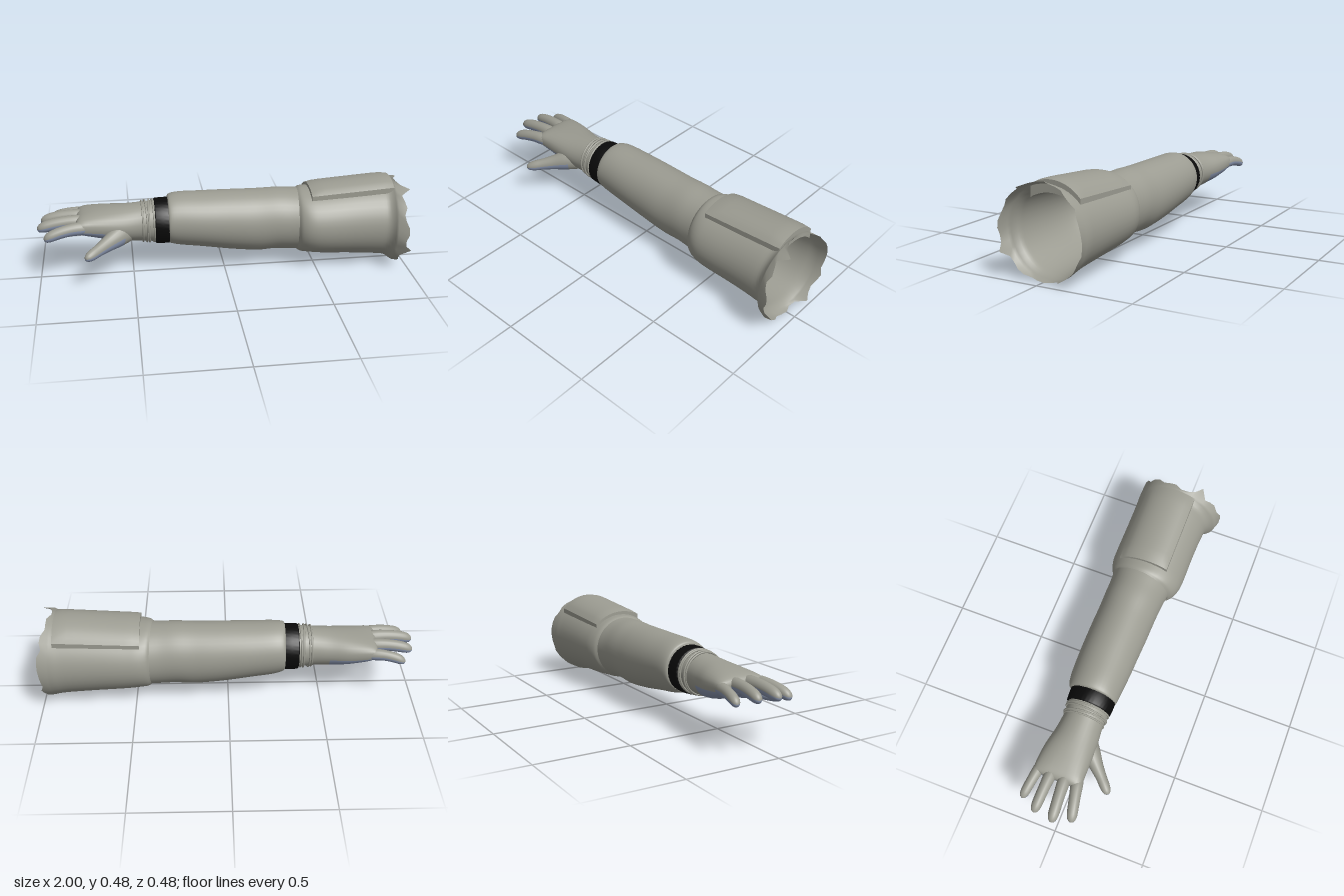
import * as THREE from 'three';

const mat = (name, color) => {
  const m = new THREE.MeshStandardMaterial({ color, side: THREE.DoubleSide });
  m.name = name;
  return m;
};

// Smooth tube through sections [x, y, z, halfWidth, halfHeight, squareness];
// below the angle limit, faces from x < paintX use the second material.
function loft(name, sections, mats, { sides = 32, steps = 4, paintX = -9, adjust } = {}) {
  const V = (a, b, c) => new THREE.Vector3(a, b, c);
  const centre = new THREE.CatmullRomCurve3(sections.map(s => V(s[0], s[1], s[2])), false, 'catmullrom');
  const size = new THREE.CatmullRomCurve3(sections.map(s => V(s[3], s[4], s[5] ?? 1)), false, 'catmullrom');
  const rings = (sections.length - 1) * steps;
  const dir = centre.getPoint(1).sub(centre.getPoint(0));
  const side = V(0, 1, 0).cross(dir).normalize();
  const pos = [], main = [], painted = [];
  const power = (v, p) => Math.sign(v) * Math.abs(v) ** p;
  for (let i = 0; i <= rings; i++) {
    const c = centre.getPoint(i / rings), s = size.getPoint(i / rings);
    for (let j = 0; j < sides; j++) {
      const a = (j / sides) * Math.PI * 2;
      const p = c.clone().addScaledVector(side, s.x * power(Math.cos(a), s.z));
      p.y += s.y * power(Math.sin(a), s.z);
      if (adjust) adjust(p, i / rings, j, a);
      pos.push(p.x, p.y, p.z);
      if (i === rings) continue;
      const k = (j + 1) % sides, n = i * sides;
      const low = Math.sin(((j + 0.5) / sides) * Math.PI * 2) < -0.15;
      (low && c.x < paintX ? painted : main).push(
        n + j, n + k, n + sides + k, n + j, n + sides + k, n + sides + j);
    }
  }
  const g = new THREE.BufferGeometry();
  g.setAttribute('position', new THREE.Float32BufferAttribute(pos, 3));
  g.setIndex([...main, ...painted]);
  g.addGroup(0, main.length, 0);
  if (painted.length) g.addGroup(main.length, painted.length, 1);
  g.computeVertexNormals();
  const mesh = new THREE.Mesh(g, mats);
  mesh.name = name;
  return mesh;
}

export function createModel() {
  const root = new THREE.Group();
  root.name = 'gloveAndSleeve';
  const fabric = mat('greyFabric', 0x9c9c92);
  const grip = mat('bluePalm', 0x8a96b0);
  const black = mat('blackBand', 0x0a0a0a);
  const glove = [fabric, grip];

  // Lower sleeve, gathered in at the wrist
  root.add(loft('lowerSleeve', [
    [-0.305, 0.292, -0.048, 0.118, 0.120],
    [-0.295, 0.298, -0.053, 0.134, 0.134],
    [-0.24, 0.295, -0.057, 0.143, 0.146],
    [-0.12, 0.286, -0.057, 0.150, 0.154],
    [0.0, 0.276, -0.056, 0.153, 0.164],
    [0.1, 0.269, -0.054, 0.155, 0.170],
    [0.19, 0.265, -0.052, 0.155, 0.174],
    [0.28, 0.269, -0.050, 0.157, 0.172],
    [0.36, 0.265, -0.047, 0.160, 0.172],
    [0.43, 0.263, -0.044, 0.168, 0.172],
  ], [fabric], { sides: 40 }));

  // Upper sleeve, flaring to a torn edge
  root.add(loft('upperSleeve', [
    [0.405, 0.263, -0.045, 0.166, 0.172],
    [0.425, 0.262, -0.042, 0.186, 0.181],
    [0.47, 0.261, -0.038, 0.202, 0.184],
    [0.54, 0.258, -0.036, 0.207, 0.189],
    [0.70, 0.257, -0.036, 0.206, 0.200],
    [0.84, 0.255, -0.034, 0.209, 0.210],
    [0.90, 0.252, -0.030, 0.216, 0.216],
    [0.94, 0.250, -0.005, 0.240, 0.236],
  ], [fabric], {
    sides: 40,
    adjust(p, t, j, a) {
      if (t < 0.999) return;
      const tear = [0, 0.012, -0.008, 0.006, 0.014, -0.004, 0.01][(j * 3) % 7];
      p.x += 0.035 * Math.cos(a) ** 2 + tear;
      if (j % 10 === 3) p.x = 0.995;
    },
  }));

  // Raised pocket flap following the curve of the sleeve top
  const flapGeo = new THREE.BoxGeometry(0.45, 0.07, 0.27, 12, 3, 14);
  const fp = flapGeo.attributes.position;
  for (let i = 0; i < fp.count; i++) {
    const x = fp.getX(i) + 0.69, z = fp.getZ(i) - 0.055;
    const u = (x - 0.465) / 0.45;
    const h = 0.185 + 0.033 * u;
    const top = 0.258 + h * Math.sqrt(1 - ((z + 0.03) / 0.215) ** 2);
    const edge = Math.max(Math.abs(fp.getX(i)) / 0.225, Math.abs(fp.getZ(i)) / 0.135);
    const round = fp.getY(i) > 0.03 ? 0.008 * edge ** 8 : 0;
    fp.setXYZ(i, x, top + fp.getY(i) - 0.008 - round, z);
  }
  flapGeo.computeVertexNormals();
  const flap = new THREE.Mesh(flapGeo, fabric);
  flap.name = 'pocketFlap';
  root.add(flap);

  // Black wrist band with a fine ribbed surface
  root.add(loft('wristBand', [
    [-0.298, 0.292, -0.048, 0.115, 0.116],
    [-0.302, 0.292, -0.048, 0.125, 0.125],
    [-0.370, 0.292, -0.048, 0.122, 0.123],
    [-0.374, 0.292, -0.048, 0.113, 0.114],
  ], [black], {
    sides: 72, steps: 2,
    adjust(p, t, j) {
      const s = j % 2 ? 1 : 0.985;
      p.y = 0.292 + (p.y - 0.292) * s;
      p.z = -0.048 + (p.z + 0.048) * s;
    },
  }));

  // Gathered rings of the cuff
  [[-0.385, 0.115, 0.03], [-0.405, 0.115, -0.04], [-0.425, 0.113, 0.07], [-0.443, 0.110, 0.02]]
    .forEach(([x, r, tilt]) => {
      const ring = new THREE.Mesh(new THREE.TorusGeometry(r, 0.005, 8, 40), fabric);
      ring.rotation.set(0, Math.PI / 2 + tilt, 0);
      ring.position.set(x, 0.294, -0.046);
      ring.name = 'cuffRing';
      root.add(ring);
    });

  // Palm and back of the hand
  root.add(loft('hand', [
    [-0.31, 0.292, -0.048, 0.112, 0.113],
    [-0.38, 0.293, -0.047, 0.112, 0.112],
    [-0.45, 0.294, -0.046, 0.109, 0.105],
    [-0.54, 0.294, -0.047, 0.118, 0.098],
    [-0.63, 0.300, -0.054, 0.128, 0.085, 0.9],
    [-0.71, 0.308, -0.057, 0.132, 0.068, 0.8],
    [-0.765, 0.313, -0.056, 0.132, 0.050, 0.7],
    [-0.79, 0.313, -0.055, 0.120, 0.030, 0.7],
    [-0.795, 0.313, -0.055, 0.001, 0.001],
  ], glove, { paintX: -0.53 }));

  // Fingers: [base y, base z, tip x, tip y, tip z, radius]
  const profile = [[0, 0.98], [0.2, 1.08], [0.42, 1.0], [0.65, 0.96], [0.84, 0.9], [0.94, 0.68], [0.985, 0.35], [1, 0.01]];
  [
    ['littleFinger', 0.308, -0.158, -0.935, 0.282, -0.190, 0.027],
    ['ringFinger', 0.320, -0.092, -0.985, 0.300, -0.103, 0.030],
    ['middleFinger', 0.320, -0.020, -1.0, 0.300, 0.000, 0.031],
    ['indexFinger', 0.310, 0.042, -0.962, 0.280, 0.092, 0.030],
  ].forEach(([name, y0, z0, x1, y1, z1, r]) => {
    root.add(loft(name, profile.map(([t, k]) => [
      -0.735 + (x1 + 0.735) * t,
      y0 + (y1 - y0) * t + 0.014 * Math.sin(Math.PI * t),
      z0 + (z1 - z0) * t, r * k, r * k * 1.1,
    ]), glove, { sides: 20, steps: 3, paintX: 9 }));
  });

  // Thumb, spreading out of the heel of the hand
  root.add(loft('thumb', [
    [-0.53, 0.262, 0.010, 0.050, 0.060],
    [-0.585, 0.252, 0.052, 0.050, 0.058],
    [-0.635, 0.238, 0.100, 0.037, 0.044],
    [-0.68, 0.226, 0.145, 0.029, 0.034],
    [-0.715, 0.217, 0.178, 0.027, 0.030],
    [-0.737, 0.212, 0.198, 0.021, 0.022],
    [-0.747, 0.210, 0.208, 0.010, 0.011],
    [-0.749, 0.210, 0.210, 0.001, 0.001],
  ], glove, { sides: 20, paintX: -0.56 }));

  return root;
}
